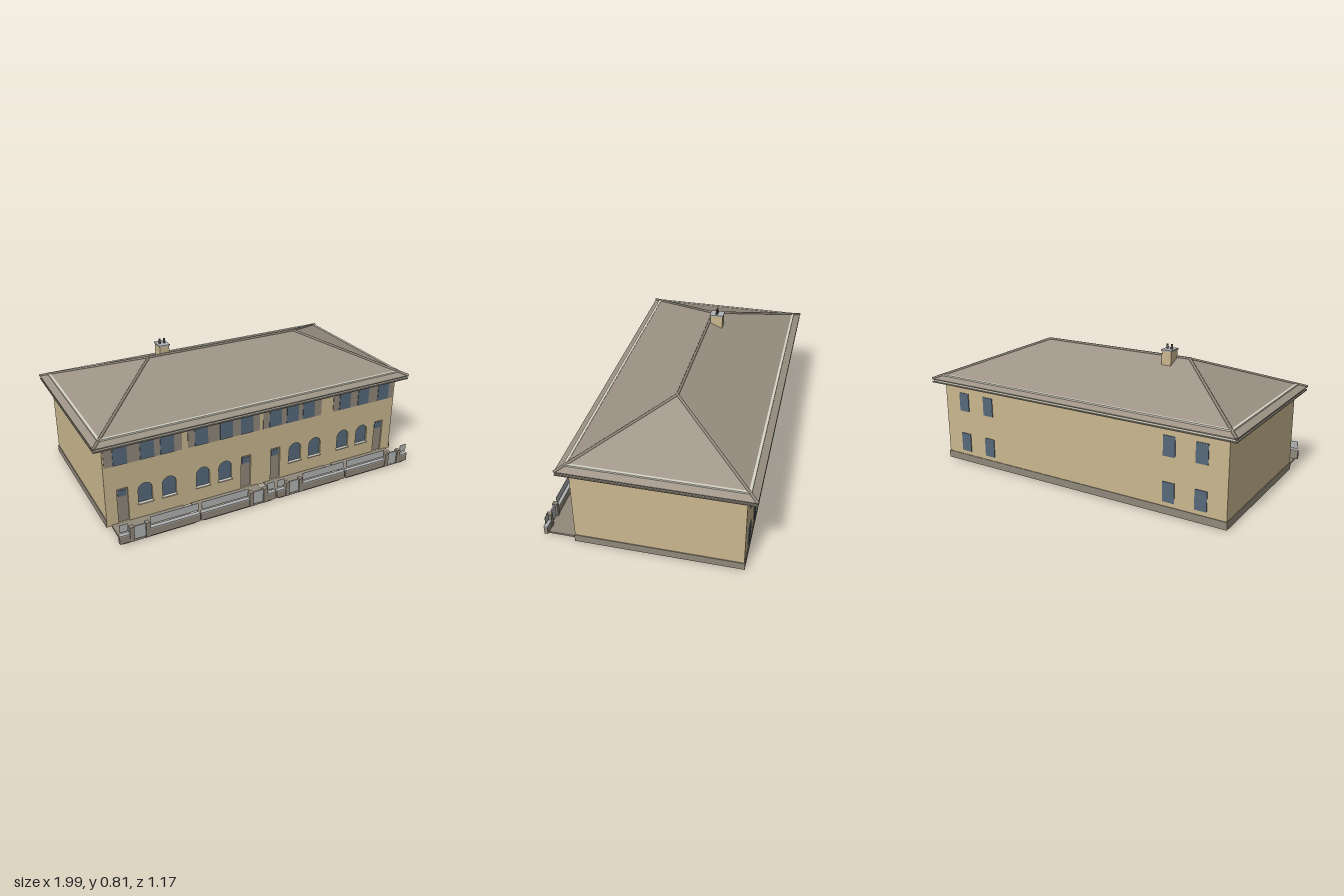
import * as THREE from 'three';

const mat = (name, color, side = THREE.FrontSide) => {
  const m = new THREE.MeshStandardMaterial({ color, side });
  m.name = name;
  return m;
};

export function createModel() {
  const model = new THREE.Group();
  model.name = 'terracedHouses';
  const wall = mat('sandWall', 0xcbb88f);
  const stone = mat('brownStone', 0x91887a);
  const tile = mat('roofTile', 0x9d9386);
  const glass = mat('blueGlass', 0x566a7a, THREE.DoubleSide);
  const light = mat('lightGrey', 0xb2b3b4);
  const white = mat('offWhite', 0xd8d4c6);
  const dark = mat('darkPot', 0x55504a);

  const add = (name, geo, material, parent = model) => {
    const m = new THREE.Mesh(geo, material);
    m.name = name;
    parent.add(m);
    return m;
  };
  // Box given by its limits on each axis
  const box = (name, material, x0, x1, y0, y1, z0, z1) => {
    const m = add(name, new THREE.BoxGeometry(x1 - x0, y1 - y0, z1 - z0), material);
    m.position.set((x0 + x1) / 2, (y0 + y1) / 2, (z0 + z1) / 2);
    return m;
  };
  // Rectangular frame lying flat, t wide
  const ring = (name, material, x0, x1, z0, z1, y0, y1, t) => {
    box(name, material, x0, x1, y0, y1, z0, z0 + t);
    box(name, material, x0, x1, y0, y1, z1 - t, z1);
    box(name, material, x0, x0 + t, y0, y1, z0 + t, z1 - t);
    box(name, material, x1 - t, x1, y0, y1, z0 + t, z1 - t);
  };

  // Shell, open below
  const W = 0.935, F = 0.4, B = -0.52;
  box('backWall', wall, -W, W, 0.005, 0.5, B, B + 0.01);
  for (const s of [-1, 1]) {
    const a = s * W, b = s * (W - 0.01);
    box('sideWall', wall, Math.min(a, b), Math.max(a, b), 0.005, 0.5, B + 0.01, F - 0.02);
    const c = s * (W + 0.004);
    box('sidePlinth', stone, Math.min(a, c), Math.max(a, c), 0.006, 0.05, B - 0.004, F + 0.003);
  }
  box('backPlinth', stone, -W, W, 0.006, 0.05, B - 0.004, B);

  // Front wall with door and arched window openings
  const rect = (S, x0, x1, y0, y1) => {
    const s = new S();
    s.moveTo(x0, y0);
    s.lineTo(x1, y0);
    s.lineTo(x1, y1);
    s.lineTo(x0, y1);
    s.closePath();
    return s;
  };
  const arch = (S, x, r, y0, top) => {
    const s = new S();
    s.moveTo(x - r, y0);
    s.lineTo(x + r, y0);
    s.lineTo(x + r, top - r);
    s.absarc(x, top - r, r, 0, Math.PI, false);
    s.closePath();
    return s;
  };
  const doors = [-0.838, -0.097, 0.097, 0.838];
  const arches = [-0.71, -0.57, -0.368, -0.23, 0.23, 0.368, 0.57, 0.71];
  const front = rect(THREE.Shape, -W, W, 0.005, 0.5);
  for (const x of doors) front.holes.push(rect(THREE.Path, x - 0.031, x + 0.031, 0.012, 0.22));
  for (const x of arches) front.holes.push(arch(THREE.Path, x, 0.041, 0.1, 0.22));
  add('frontWall', new THREE.ExtrudeGeometry(front, { depth: 0.02, bevelEnabled: false, curveSegments: 10 }), wall)
    .position.z = F - 0.02;
  for (const x of arches) {
    add('archedWindow', new THREE.ShapeGeometry(arch(THREE.Shape, x, 0.041, 0.1, 0.22), 10), glass).position.z = F - 0.01;
    box('windowSill', white, x - 0.045, x + 0.045, 0.094, 0.101, F - 0.015, F + 0.008);
  }
  for (const x of doors) {
    box('door', stone, x - 0.031, x + 0.031, 0.012, 0.22, F - 0.018, F - 0.008);
    box('doorWindow', glass, x - 0.024, x + 0.024, 0.17, 0.208, F - 0.008, F - 0.005);
  }

  // Upper storey: panel bands with their windows
  const bands = [
    [-0.928, -0.49, [-0.84, -0.69, -0.575]],
    [-0.455, -0.012, [-0.375, -0.223, -0.095]],
    [0.01, 0.4, [0.09, 0.203, 0.312]],
    [0.485, 0.925, [0.567, 0.7, 0.848]],
  ];
  for (const [x0, x1, wins] of bands) {
    box('upperPanel', stone, x0, x1, 0.365, 0.497, F, F + 0.003);
    for (const x of wins) box('upperWindow', glass, x - 0.039, x + 0.039, 0.367, 0.497, F + 0.003, F + 0.006);
  }

  // Back windows
  for (const x of [-0.79, -0.605, 0.605, 0.79])
    for (const y of [0.075, 0.33]) box('backWindow', glass, x - 0.035, x + 0.035, y, y + 0.113, B - 0.004, B);

  // Hipped roof on its eaves
  const X = 0.99, Z0 = -0.575, Z1 = 0.453, E = 0.518, R = 0.727, RX = 0.48, RZ = -0.061;
  box('soffit', stone, -X, X, 0.495, 0.501, Z0, Z1);
  box('fascia', white, -X + 0.008, X - 0.008, 0.501, 0.512, Z0 + 0.008, Z1 - 0.008);
  box('eavesEdge', tile, -X, X, 0.512, E, Z0, Z1);
  const a = [-X, E, Z1], b = [X, E, Z1], c = [X, E, Z0], d = [-X, E, Z0], l = [-RX, R, RZ], r = [RX, R, RZ];
  const roof = new THREE.BufferGeometry();
  roof.setAttribute('position', new THREE.Float32BufferAttribute(
    [a, b, r, a, r, l, b, c, r, c, d, l, c, l, r, d, a, l].flat(), 3));
  roof.computeVertexNormals();
  add('roof', roof, tile);
  ring('snowRail', white, -0.952, 0.952, -0.537, 0.415, 0.525, 0.542, 0.015);

  // Ridge and hip caps
  for (const [p, q] of [[a, l], [d, l], [b, r], [c, r], [l, r]]) {
    const P = new THREE.Vector3(...p), Q = new THREE.Vector3(...q);
    const cap = add('ridgeCap', new THREE.CylinderGeometry(0.008, 0.008, P.distanceTo(Q), 6), stone);
    cap.position.copy(P).lerp(Q, 0.5);
    cap.quaternion.setFromUnitVectors(new THREE.Vector3(0, 1, 0), Q.sub(P).normalize());
  }

  // Chimney
  box('chimney', wall, -0.405, -0.348, 0.66, 0.772, -0.144, -0.069);
  box('chimneyCap', light, -0.409, -0.344, 0.772, 0.779, -0.148, -0.065);
  for (const x of [-0.39, -0.363])
    add('chimneyPot', new THREE.CylinderGeometry(0.006, 0.007, 0.028, 8), dark).position.set(x, 0.792, -0.106);

  // Front terraces
  for (const [x0, x1] of [[-0.91, -0.495], [-0.445, -0.025], [0.02, 0.442], [0.49, 0.908]])
    box('terrace', stone, x0, x1, 0, 0.011, F, 0.572);

  // Garden walls with gates, piers and railing panels
  const G0 = 0.562, G1 = 0.582;
  const gardenWall = (x0, x1) => {
    box('gardenWall', stone, x0, x1, 0.011, 0.054, G0, G1);
    box('wallCoping', light, x0, x1, 0.054, 0.061, G0 - 0.002, G1 + 0.002);
    box('railing', light, x0 + 0.006, x1 - 0.006, 0.076, 0.121, 0.571, 0.573);
  };
  const gates = [-0.816, -0.116, 0.116, 0.816];
  const edges = [-0.932, -0.47, 0, 0.47, 0.932];
  gates.forEach((g, i) => {
    gardenWall(edges[i] + 0.004, g - 0.055);
    gardenWall(g + 0.055, edges[i + 1] - 0.004);
    for (const s of [-1, 1])
      box('gatePier', stone, g + s * 0.044 - 0.012, g + s * 0.044 + 0.012, 0.011, 0.098, 0.559, 0.587);
    box('gate', light, g - 0.032, g + 0.032, 0.016, 0.094, 0.57, 0.578);
  });
  return model;
}
